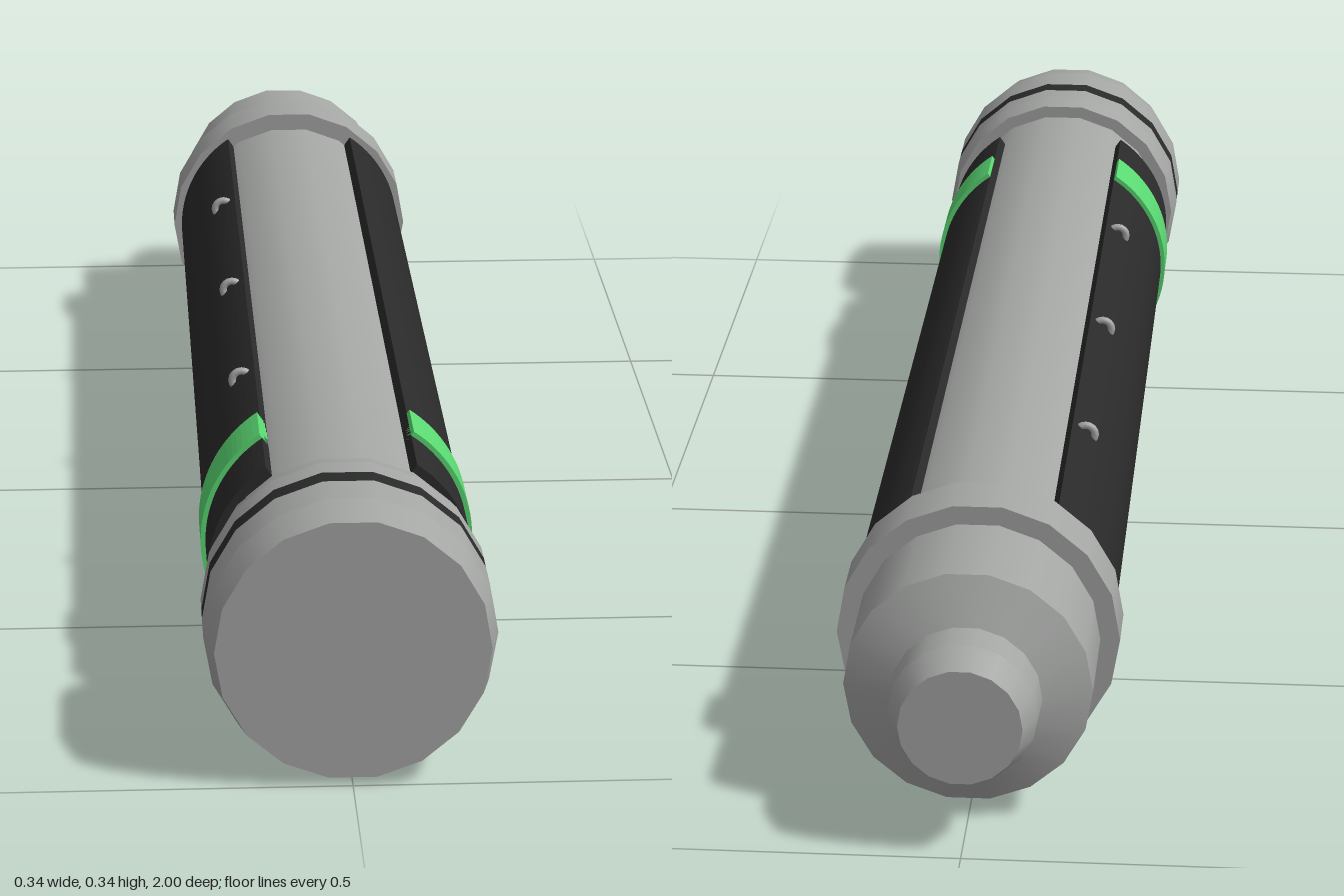
import * as THREE from 'three';

const AXIS_Y = 0.17;
const SIDES = 18;

function makeMaterial(name, color) {
  const m = new THREE.MeshStandardMaterial({ color });
  m.name = name;
  return m;
}

export function createModel() {
  const metal = makeMaterial('grey metal', 0xa4a6a4);
  const black = makeMaterial('black grip', 0x2a2a2a);
  const green = makeMaterial('green band', 0x5ad872);

  const model = new THREE.Group();
  model.name = 'penlight';
  const barrel = new THREE.Group();
  barrel.name = 'barrel';
  barrel.position.y = AXIS_Y;
  model.add(barrel);

  function add(name, geometry, material) {
    const mesh = new THREE.Mesh(geometry, material);
    mesh.name = name;
    barrel.add(mesh);
    return mesh;
  }

  // Turned part along z; each [radius, z] pair is its own strip so edges stay sharp
  function turned(name, profile, material) {
    const group = new THREE.Group();
    group.name = name;
    for (let i = 0; i < profile.length - 1; i++) {
      const pts = [profile[i], profile[i + 1]].map(([r, z]) => new THREE.Vector2(r, z));
      const geo = new THREE.LatheGeometry(pts, SIDES, Math.PI / SIDES);
      geo.rotateX(Math.PI / 2);
      const mesh = new THREE.Mesh(geo, material);
      mesh.name = name + 'Section';
      group.add(mesh);
    }
    barrel.add(group);
  }

  // Sleeve wrapped round the barrel, open along the top
  function sleeve(name, radius, z0, z1, material) {
    const gap = 0.6;
    const start = Math.PI / 2 + gap;
    const end = Math.PI * 2.5 - gap;
    const shape = new THREE.Shape();
    shape.absarc(0, 0, radius, start, end, false);
    shape.absarc(0, 0, 0.14, end, start, true);
    const geo = new THREE.ExtrudeGeometry(shape, { depth: z1 - z0, bevelEnabled: false, curveSegments: 48 });
    geo.translate(0, 0, z0);
    add(name, geo, material);
  }

  // Main tube, stepping down through a cone to the rear button
  turned('tube', [
    [0, -1], [0.073, -1], [0.088, -0.96], [0.09, -0.915],
    [0.148, -0.89], [0.149, 0.81],
  ], metal);
  turned('rearCollar', [
    [0.14, -0.745], [0.172, -0.745], [0.172, -0.67], [0.14, -0.67],
  ], metal);

  // Front cap with its inset black stripe
  turned('capBase', [[0.14, 0.8], [0.166, 0.8], [0.172, 0.83], [0.172, 0.863]], metal);
  turned('capStripe', [[0.172, 0.863], [0.172, 0.892]], black);
  turned('capFront', [[0.172, 0.892], [0.172, 0.95], [0.161, 1], [0, 1]], metal);

  // Grip and coloured band
  sleeve('grip', 0.161, -0.67, 0.743, black);
  sleeve('gripBand', 0.167, 0.56, 0.64, green);

  // Small loops along one edge of the grip
  for (const z of [-0.375, 0, 0.372]) {
    const loop = add('gripLoop', new THREE.TorusGeometry(0.012, 0.005, 8, 16), metal);
    loop.position.set(-0.107, 0.115, z);
  }

  return model;
}
